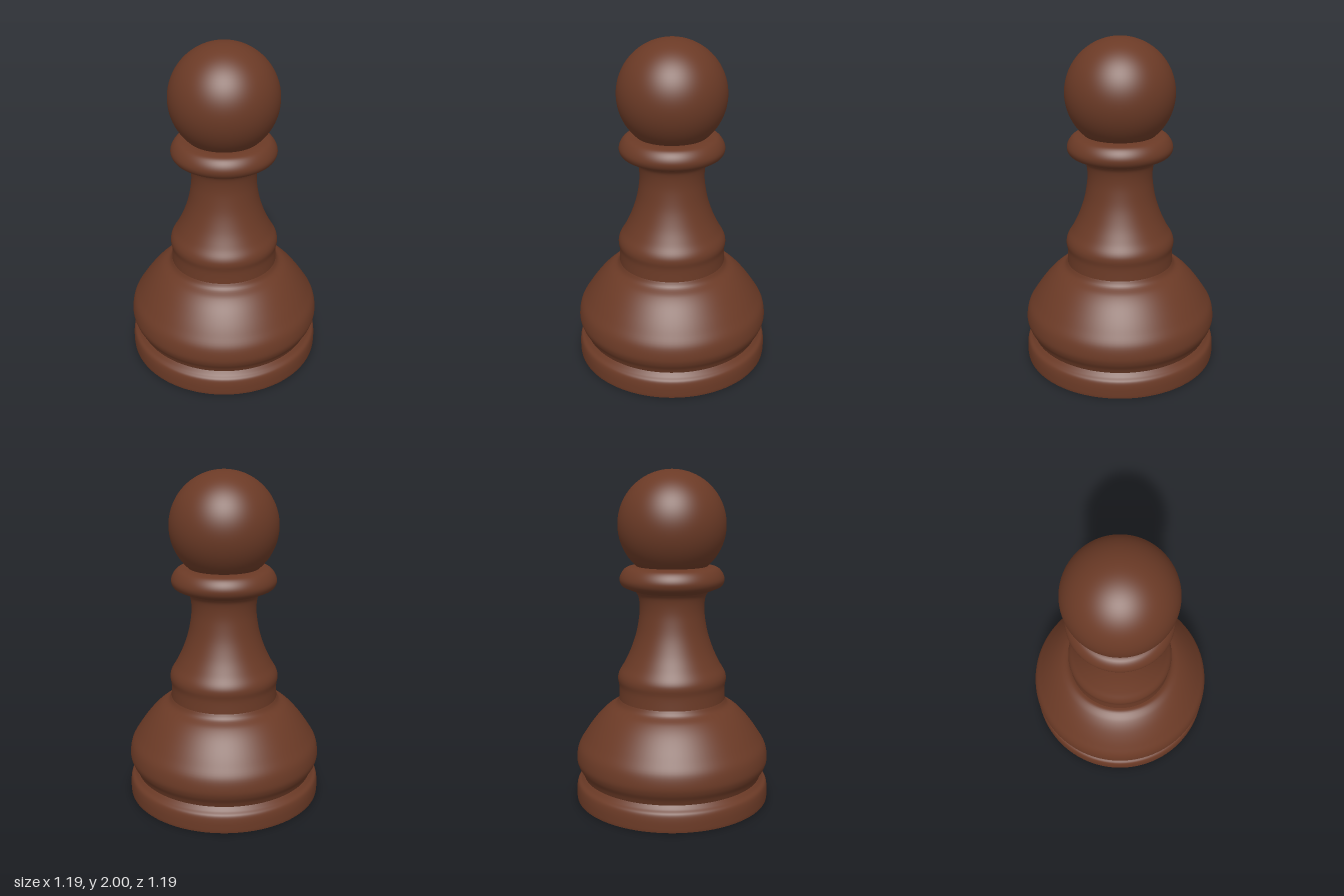
import * as THREE from 'three';

const SEGMENTS = 96;

export function createModel() {
  const wood = new THREE.MeshStandardMaterial({ color: 0x6b3a26 });
  wood.name = 'dark brown wood';
  const model = new THREE.Group();
  model.name = 'pawn';

  const add = (name, geometry) => {
    const mesh = new THREE.Mesh(geometry, wood);
    mesh.name = name;
    model.add(mesh);
    return mesh;
  };

  // Turned section: a smooth curve through [radius, height] points, bottom to top
  const turned = (name, points, steps = 32) => {
    const curve = new THREE.SplineCurve(points.map(([r, y]) => new THREE.Vector2(r, y)));
    return add(name, new THREE.LatheGeometry(curve.getPoints(steps), SEGMENTS));
  };

  // Flat underside
  add('underside', new THREE.CircleGeometry(0.593, SEGMENTS)).rotation.x = Math.PI / 2;

  // Foot with a rounded upper lip
  turned('foot', [[0.593, 0], [0.595, 0.02], [0.594, 0.07], [0.586, 0.105], [0.565, 0.125], [0.548, 0.145]]);

  // Swelling body
  turned('body', [
    [0.548, 0.145], [0.56, 0.175], [0.582, 0.215], [0.591, 0.26], [0.578, 0.33], [0.54, 0.395],
    [0.495, 0.46], [0.445, 0.52], [0.395, 0.565], [0.345, 0.595], [0.326, 0.625],
  ], 48);

  // Shoulder ring and tapering neck
  turned('neck', [
    [0.326, 0.625], [0.324, 0.7], [0.331, 0.75], [0.322, 0.79], [0.29, 0.845], [0.25, 0.93],
    [0.217, 1.03], [0.199, 1.13], [0.196, 1.2], [0.204, 1.255], [0.222, 1.283],
  ], 48);

  // Collar under the head
  turned('collar', [
    [0.222, 1.283], [0.265, 1.3], [0.3, 1.318], [0.315, 1.352], [0.305, 1.39],
    [0.278, 1.422], [0.24, 1.433], [0.2, 1.434],
  ]);

  // Ball head
  add('head', new THREE.SphereGeometry(0.323, SEGMENTS, 48)).position.y = 1.677;

  return model;
}
